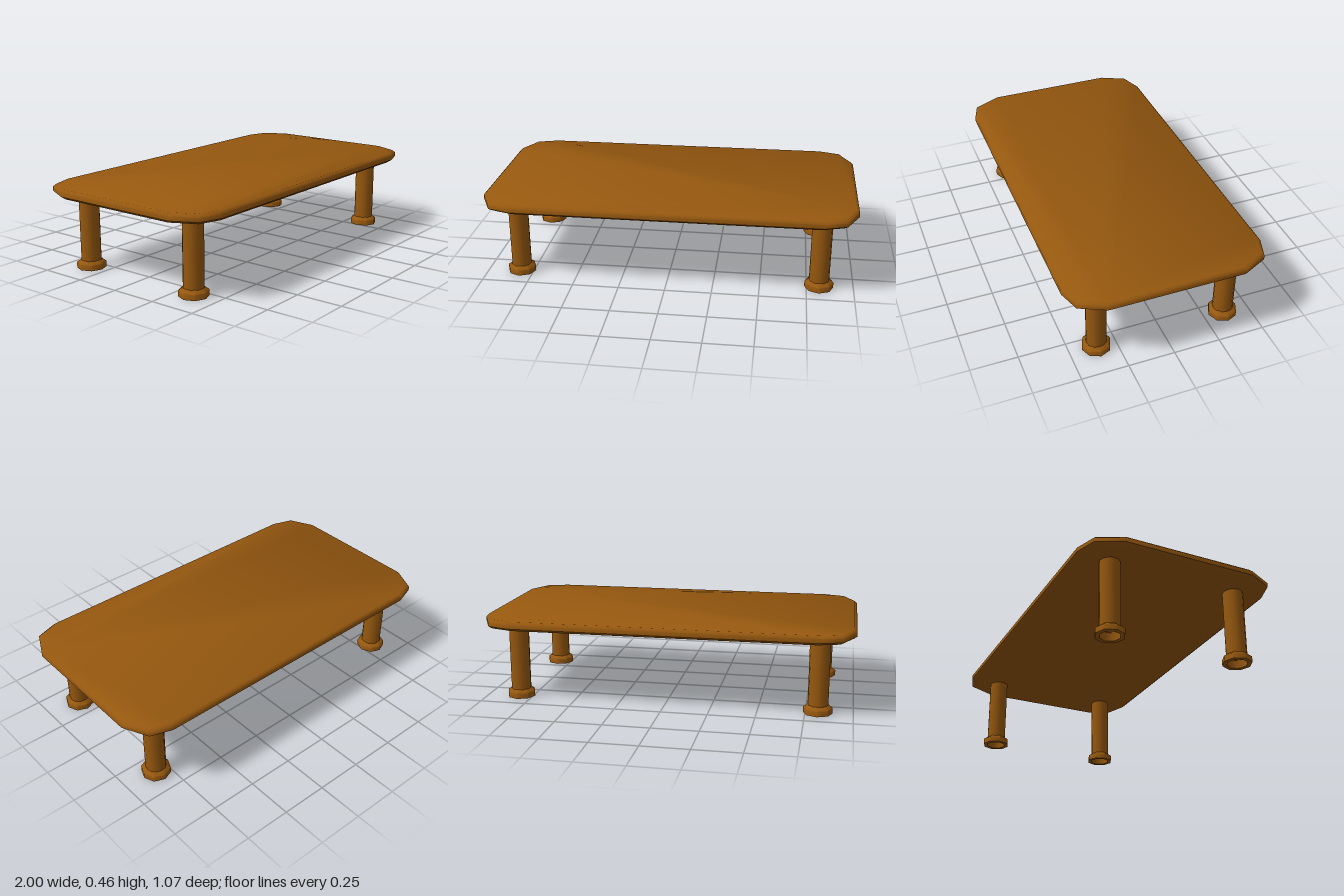
import * as THREE from 'three';
import { toCreasedNormals } from 'three/addons/utils/BufferGeometryUtils.js';

// Slab with clipped corners, lofted through inset outlines
function slabGeometry() {
  const corner = [[1, 0.36], [0.935, 0.495], [0.82, 0.533]];
  const back = corner.slice().reverse();
  const outline = [
    ...corner,
    ...back.map(([x, z]) => [-x, z]),
    ...corner.map(([x, z]) => [-x, -z]),
    ...back.map(([x, z]) => [x, -z]),
  ];
  const levels = [[0.018, 0.406], [0, 0.42], [0, 0.443], [0.014, 0.457]];
  const n = outline.length;
  const positions = [];
  const index = [];
  for (const [inset, y] of levels) {
    for (const [x, z] of outline) positions.push(x * (1 - inset), y, z * (1 - inset / 0.533));
  }
  for (let l = 0; l < levels.length - 1; l++) {
    for (let i = 0; i < n; i++) {
      const a = l * n + i;
      const b = l * n + (i + 1) % n;
      index.push(a, a + n, b, b, a + n, b + n);
    }
  }
  // Bottom and top caps
  const last = (levels.length - 1) * n;
  for (let i = 1; i < n - 1; i++) {
    index.push(0, i, i + 1);
    index.push(last, last + i + 1, last + i);
  }
  const geometry = new THREE.BufferGeometry();
  geometry.setAttribute('position', new THREE.Float32BufferAttribute(positions, 3));
  geometry.setIndex(index);
  return toCreasedNormals(geometry, 0.9);
}

export function createModel() {
  const table = new THREE.Group();
  table.name = 'table';
  const wood = new THREE.MeshStandardMaterial({ color: 0x96580f, side: THREE.DoubleSide });
  wood.name = 'brown wood';

  const top = new THREE.Mesh(slabGeometry(), wood);
  top.name = 'tableTop';
  table.add(top);

  // Hollow leg, open at the floor, with a flared foot collar
  const legGeometry = new THREE.CylinderGeometry(0.054, 0.054, 0.41, 12, 1, true).translate(0, 0.205, 0);
  const footProfile = [[0.054, 0], [0.077, 0], [0.077, 0.03], [0.054, 0.047]];
  const footGeometry = toCreasedNormals(
    new THREE.LatheGeometry(footProfile.map(([r, y]) => new THREE.Vector2(r, y)), 8), 0.9);

  for (const x of [-1, 1]) {
    for (const z of [-1, 1]) {
      const leg = new THREE.Group();
      leg.name = (z > 0 ? 'front' : 'back') + (x > 0 ? 'Left' : 'Right') + 'Leg';
      const post = new THREE.Mesh(legGeometry, wood);
      post.name = 'post';
      const foot = new THREE.Mesh(footGeometry, wood);
      foot.name = 'foot';
      leg.add(post, foot);
      leg.position.set(x * 0.816, 0, z * 0.356);
      table.add(leg);
    }
  }
  return table;
}
